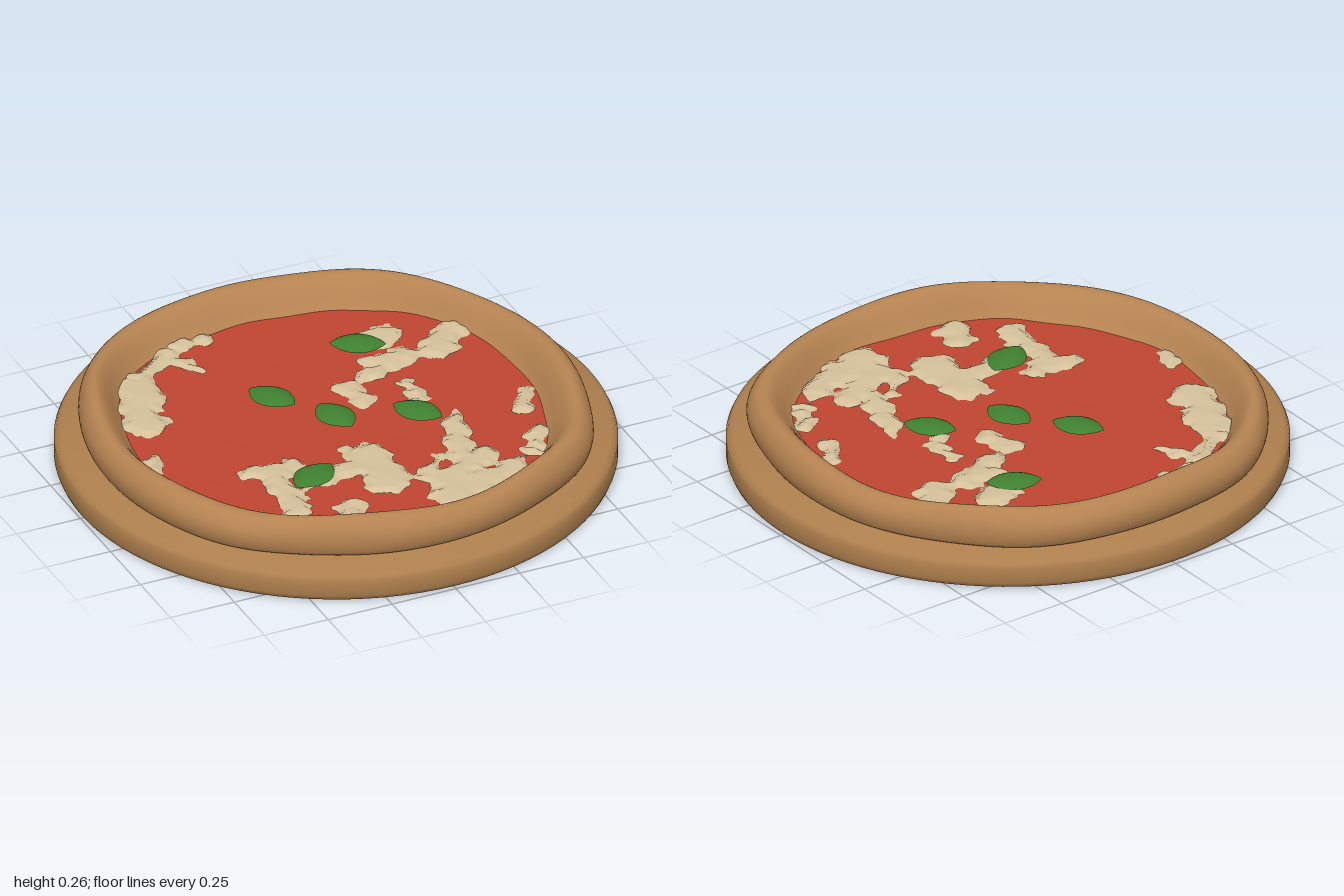
import * as THREE from 'three';
import { mergeVertices, toCreasedNormals } from 'three/addons/utils/BufferGeometryUtils.js';

const mat = (name, color, side = THREE.FrontSide) => {
  const m = new THREE.MeshStandardMaterial({ color, side });
  m.name = name;
  return m;
};

// Radii every 20 degrees, turning from +x towards +z
const OUTER = [.895, .9, .928, .897, .89, .89, .883, .908, .897, .895, .907, .925, .932, .9, .9, .92, .9, .905];
const INNER = [.734, .738, .765, .752, .745, .73, .75, .732, .735, .745, .75, .785, .772, .735, .735, .755, .773, .752];

// Smooth closed interpolation of a radius table
function radius(table, angle) {
  const n = table.length;
  const t = ((angle / (Math.PI * 2)) % 1 + 1) % 1 * n;
  const i = Math.floor(t), f = t - i;
  const p = k => table[(i + k + n) % n];
  return p(0) + .5 * f * (p(1) - p(-1) + f * (2 * p(-1) - 5 * p(0) + 4 * p(1) - p(2)
    + f * (3 * (p(0) - p(1)) + p(2) - p(-1))));
}

// Wavy ring of dough; profile is [share of the way from inner to outer edge, height]
function crustGeometry() {
  const profile = new THREE.SplineCurve([
    [.5, .11], [.85, .112], [.96, .135], [1, .17], [.96, .205], [.82, .238], [.64, .25],
    [.46, .24], [.26, .205], [.1, .168], [-.05, .14],
  ].map(p => new THREE.Vector2(...p))).getPoints(30);
  const segs = 126, rows = profile.length, pos = [], index = [];
  for (let i = 0; i < segs; i++) {
    const a = i / segs * Math.PI * 2;
    const ro = radius(OUTER, a), ri = radius(INNER, a);
    const wave = .006 * Math.sin(7 * a + 1) + .004 * Math.sin(4 * a);
    profile.forEach((p, j) => {
      const r = ri + (ro - ri) * p.x;
      pos.push(r * Math.cos(a), p.y + wave * Math.max(0, (p.y - .15) / .1), r * Math.sin(a));
      if (j < rows - 1) {
        const k = i * rows + j, m = ((i + 1) % segs) * rows + j;
        index.push(k, k + 1, m, k + 1, m + 1, m);
      }
    });
  }
  const g = new THREE.BufferGeometry();
  g.setAttribute('position', new THREE.Float32BufferAttribute(pos, 3));
  g.setIndex(index);
  g.computeVertexNormals();
  return g;
}

// Disc that follows the inner edge of the crust, gently rippled
function sauceGeometry() {
  const g = new THREE.RingGeometry(0, 1, 108, 20).rotateX(-Math.PI / 2);
  const p = g.attributes.position;
  for (let i = 0; i < p.count; i++) {
    const x = p.getX(i), z = p.getZ(i), s = radius(INNER, Math.atan2(z, x)) + .015;
    p.setXYZ(i, x * s, .15 + .003 * Math.sin(13 * x + 2) * Math.sin(11 * z), z * s);
  }
  g.computeVertexNormals();
  return g;
}

// Strokes of melted cheese: x1, z1, x2, z2, half width, in hundredths
const STROKES = [
  [-62, -25, -55, -49, 8], [-52, -55, -35, -66, 5], [-32, -68, -20, -69, 3], [-34, -57, -29, -51, 3],
  [-69, -4, -72, 5, 3], [28, -30, 50, -28, 5], [36, -44, 42, -44, 6], [14, -18, 13, -9, 5],
  [20, -21, 30, -25, 4], [56, -30, 62, -39, 6], [23, 1, 31, 3, 3], [34, -12, 34, 1, 3],
  [69, 10, 63, 20, 3], [0, 26, -2, 46, 8], [-44, 21, -30, 23, 5], [-37, 28, -39, 52, 5],
  [-24, 36, -8, 34, 6], [15, 65, 42, 57, 8], [18, 53, 36, 47, 7], [29, 40, 39, 18, 5],
  [22, 39, 12, 50, 4], [61, 38, 54, 50, 4], [-20, 56, -24, 66, 5], [60, -3, 64, -4, 2],
];

// How far inside the cheese a point lies, with ragged edges
function cheeseField(x, z) {
  let f = -1;
  for (const s of STROKES) {
    const [x1, z1, x2, z2, r] = s.map(v => v / 100);
    const dx = x2 - x1, dz = z2 - z1;
    const t = THREE.MathUtils.clamp(((x - x1) * dx + (z - z1) * dz) / (dx * dx + dz * dz), 0, 1);
    f = Math.max(f, r - Math.hypot(x - x1 - t * dx, z - z1 - t * dz));
  }
  return f + .022 * Math.sin(19 * x + 3 * Math.sin(10 * z)) * Math.sin(21 * z + 3 * Math.sin(12 * x))
    + .014 * Math.sin(43 * x + 2 * Math.sin(31 * z)) * Math.sin(47 * z + 2 * Math.sin(29 * x));
}

// Raised sheet over a fine grid, cut off where the cheese ends
function cheeseGeometry() {
  const n = 128, size = 1.6, pos = [], grid = [];
  const corner = (i, j) => {
    const x = (i / n - .5) * size, z = (j / n - .5) * size, f = cheeseField(x, z);
    const y = .153 + .015 * THREE.MathUtils.smoothstep(f, 0, .03) + .002 * Math.sin(31 * x) * Math.sin(27 * z);
    const inside = Math.min(f, radius(INNER, Math.atan2(z, x)) + .008 - Math.hypot(x, z));
    return { p: new THREE.Vector3(x, y, z), inside };
  };
  for (let i = 0; i <= n; i++) {
    grid.push([]);
    for (let j = 0; j <= n; j++) grid[i].push(corner(i, j));
  }
  const clip = tri => {
    const poly = [];
    tri.forEach((a, k) => {
      const b = tri[(k + 1) % 3];
      if (a.inside >= 0) poly.push(a.p);
      if ((a.inside >= 0) !== (b.inside >= 0)) poly.push(a.p.clone().lerp(b.p, a.inside / (a.inside - b.inside)));
    });
    for (let k = 2; k < poly.length; k++) {
      for (const v of [poly[0], poly[k - 1], poly[k]]) pos.push(v.x, v.y, v.z);
    }
  };
  for (let i = 0; i < n; i++) {
    for (let j = 0; j < n; j++) {
      const a = grid[i][j], c = grid[i + 1][j + 1];
      clip([a, grid[i][j + 1], c]);
      clip([a, c, grid[i + 1][j]]);
    }
  }
  const g = new THREE.BufferGeometry();
  g.setAttribute('position', new THREE.Float32BufferAttribute(pos, 3));
  const merged = mergeVertices(g);
  merged.computeVertexNormals();
  return merged;
}

// Pointed, domed leaf with a centre fold, lying along x
function leafGeometry(length, width) {
  const g = new THREE.PlaneGeometry(2, 2, 16, 8).rotateX(-Math.PI / 2);
  const p = g.attributes.position;
  for (let i = 0; i < p.count; i++) {
    const u = p.getX(i), v = p.getZ(i);
    const w = Math.pow(Math.max(0, 1 - u * u), .85);
    p.setXYZ(i, u * length / 2, .022 * w * (1 - v * v) - .003 * w * (1 - Math.abs(v)), v * w * width / 2);
  }
  g.computeVertexNormals();
  return g;
}

// Leaf tips: x1, z1, x2, z2
const LEAVES = [[.19, -.46, .37, -.37], [-.2, -.3, -.1, -.13], [-.02, -.1, .02, .09],
  [.22, .01, .335, .17], [-.335, .385, -.155, .29]];

export function createModel() {
  const board = mat('board wood', 0xae7f4d);
  const dough = mat('baked dough', 0xb58351);
  const sauce = mat('tomato sauce', 0xbf4530);
  const cheese = mat('cheese', 0xd4c09a);
  const leaf = mat('basil green', 0x3f8030, THREE.DoubleSide);

  const model = new THREE.Group();
  model.name = 'pizzaOnBoard';
  const add = (name, geometry, material) => {
    const m = new THREE.Mesh(geometry, material);
    m.name = name;
    model.add(m);
    return m;
  };

  // Round board with softened edges
  const rim = [[0, 0], [.975, 0], [.993, .008], [1, .025], [1, .085], [.993, .1], [.975, .11], [0, .11]];
  add('board', toCreasedNormals(new THREE.LatheGeometry(rim.map(p => new THREE.Vector2(...p)), 96), .8), board);

  add('crust', crustGeometry(), dough);
  add('sauce', sauceGeometry(), sauce);
  add('meltedCheese', cheeseGeometry(), cheese);

  // Basil leaves
  for (const [x1, z1, x2, z2] of LEAVES) {
    const m = add('basilLeaf', leafGeometry(Math.hypot(x2 - x1, z2 - z1), .135), leaf);
    m.position.set((x1 + x2) / 2, .169, (z1 + z2) / 2);
    m.rotation.y = -Math.atan2(z2 - z1, x2 - x1);
  }
  return model;
}
